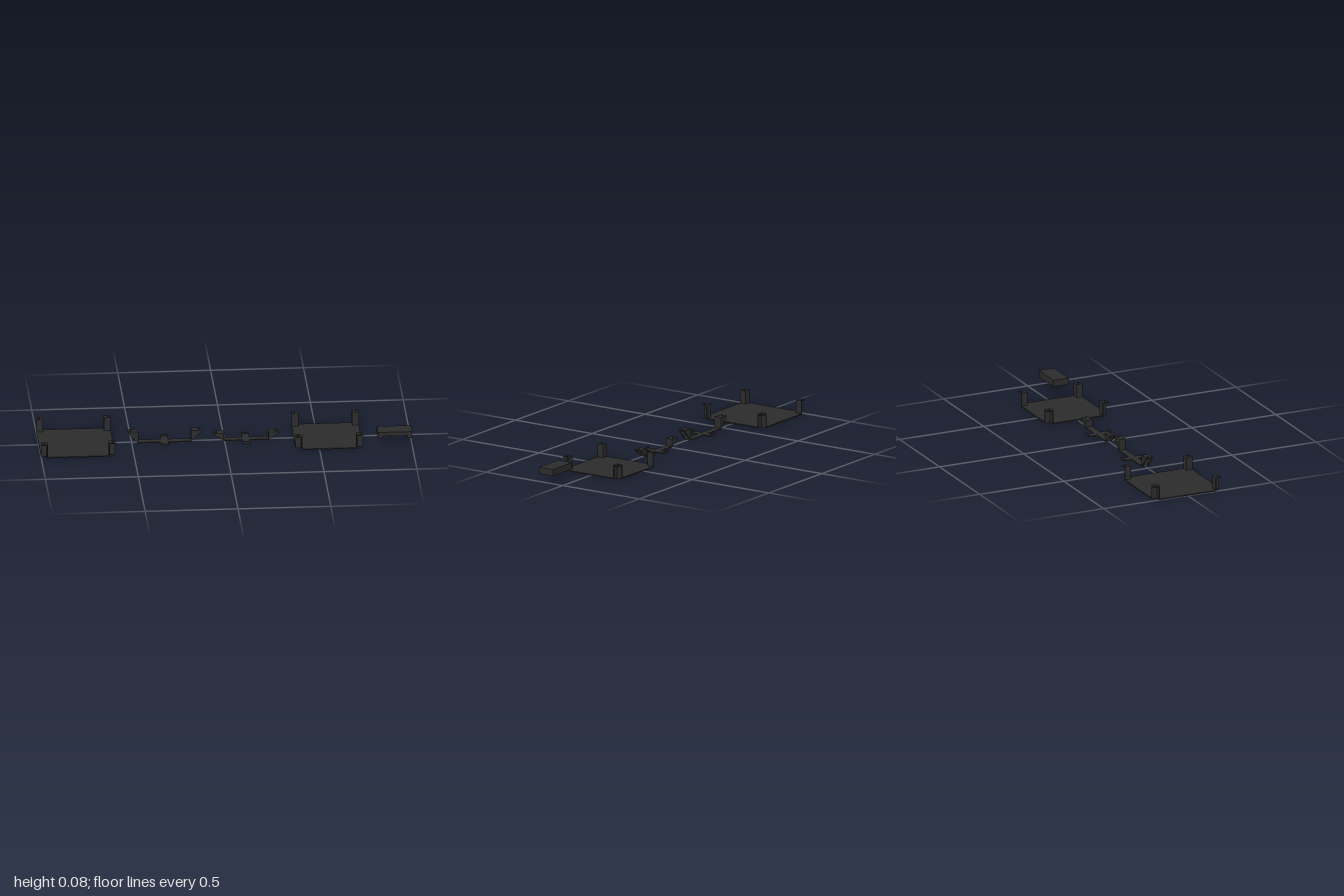
import * as THREE from 'three';

const charcoal = new THREE.MeshStandardMaterial({ color: 0x2b2b2b });
charcoal.name = 'charcoal plastic';
const T = 0.006; // sheet thickness

function add(parent, name, geometry, x = 0, y = 0, z = 0) {
  const mesh = new THREE.Mesh(geometry, charcoal);
  mesh.name = name;
  mesh.position.set(x, y, z);
  parent.add(mesh);
  return mesh;
}

// Box given by its minimum and maximum corners
function block(parent, name, [x0, y0, z0], [x1, y1, z1]) {
  return add(parent, name, new THREE.BoxGeometry(x1 - x0, y1 - y0, z1 - z0),
    (x0 + x1) / 2, (y0 + y1) / 2, (z0 + z1) / 2);
}

function polygon(points) {
  return new THREE.Shape(points.map(([x, y]) => new THREE.Vector2(x, y)));
}

// Flat outline extruded upward
function slab(shape, depth) {
  return new THREE.ExtrudeGeometry(shape, { depth, bevelEnabled: false, curveSegments: 6 })
    .rotateX(-Math.PI / 2);
}

// Rectangular tab with one screw hole
function tab(x0, x1, z0, z1, hx, hz) {
  const shape = polygon([[x0, -z1], [x1, -z1], [x1, -z0], [x0, -z0]]);
  shape.holes.push(new THREE.Path().absarc(hx, -hz, 0.006, 0, Math.PI * 2, true));
  return slab(shape, T);
}

// Square tray: notched corners, each with an L-shaped wall and a screw tab on top
function tray(name, x, half) {
  const g = new THREE.Group();
  g.name = name;
  g.position.x = x;
  const height = 0.079, post = 0.036, n = half - post + T, h = half;
  add(g, 'trayFloor', slab(polygon([
    [n, -h], [n, -n], [h, -n], [h, n], [n, n], [n, h],
    [-n, h], [-n, n], [-h, n], [-h, -n], [-n, -n], [-n, -h],
  ]), T));
  const i = half - post;
  for (let k = 0; k < 4; k++) {
    const corner = new THREE.Group();
    corner.name = 'cornerPost';
    corner.rotation.y = k * Math.PI / 2;
    block(corner, 'postWall', [i, 0, i], [i + T, height - T, h]);
    block(corner, 'postWall', [i + T, 0, i], [h, height - T, i + T]);
    add(corner, 'screwTab', tab(i, h, i, h, h - 0.014, h - 0.014), 0, height - T, 0);
    g.add(corner);
  }
  return g;
}

// Cross-shaped bracket with a gusseted screw ear at each end
function bracket(name, x, half, height) {
  const g = new THREE.Group();
  g.name = name;
  g.position.x = x;
  const inner = half - 0.056, w = 0.02, t = 0.005, reach = 0.069;
  block(g, 'bar', [-inner, 0, -w], [inner, t, w]);
  for (const s of [-1, 1]) {
    const end = new THREE.Group();
    end.name = 'bracketEnd';
    end.rotation.y = s < 0 ? Math.PI : 0;
    block(end, 'earWall', [inner, 0, -w], [inner + t, height - T, w]);
    add(end, 'earTab', tab(inner, half, -w, w, half - 0.015, 0), 0, height - T, 0);
    const triangle = polygon([[inner, 0], [half, height - T], [inner, height - T]]);
    for (const z of [-w, w - t]) {
      add(end, 'gusset', new THREE.ExtrudeGeometry(triangle, { depth: t, bevelEnabled: false }), 0, 0, z);
    }
    // Cross arm with a small raised lip
    block(end, 'crossArm', [-0.02, 0, w], [0.02, t, reach]);
    block(end, 'armLip', [-0.02, t, reach - T], [0.02, 0.0125, reach]);
    g.add(end);
  }
  return g;
}

// Hollow cover, open below, with a cut-out in its front wall
function cover() {
  const g = new THREE.Group();
  g.name = 'cover';
  const x0 = 0.816, x1 = 1, y0 = 0.043, y1 = 0.079, z0 = 0.065, z1 = 0.156;
  const top = y1 - T;
  block(g, 'coverTop', [x0, top, z0], [x1, y1, z1]);
  block(g, 'coverBack', [x0, y0, z0], [x1, top, z0 + T]);
  block(g, 'coverEnd', [x0, y0, z0 + T], [x0 + T, top, z1]);
  block(g, 'coverEnd', [x1 - T, y0, z0 + T], [x1, top, z1]);
  const a = x0 + T, b = x1 - T, cut = 0.02, mid = 0.058;
  const front = polygon([[a, y0], [a + cut, y0], [a + cut, mid], [b - cut, mid],
    [b - cut, y0], [b, y0], [b, top], [a, top]]);
  add(g, 'coverFront', new THREE.ExtrudeGeometry(front, { depth: T, bevelEnabled: false }), 0, 0, z1 - T);
  return g;
}

export function createModel() {
  const model = new THREE.Group();
  model.name = 'mountingKit';
  model.add(
    tray('largeTray', -0.8, 0.2),
    bracket('tallBracket', -0.322, 0.198, 0.066),
    bracket('lowBracket', 0.116, 0.176, 0.045),
    tray('smallTray', 0.554, 0.181),
    cover(),
  );
  return model;
}
